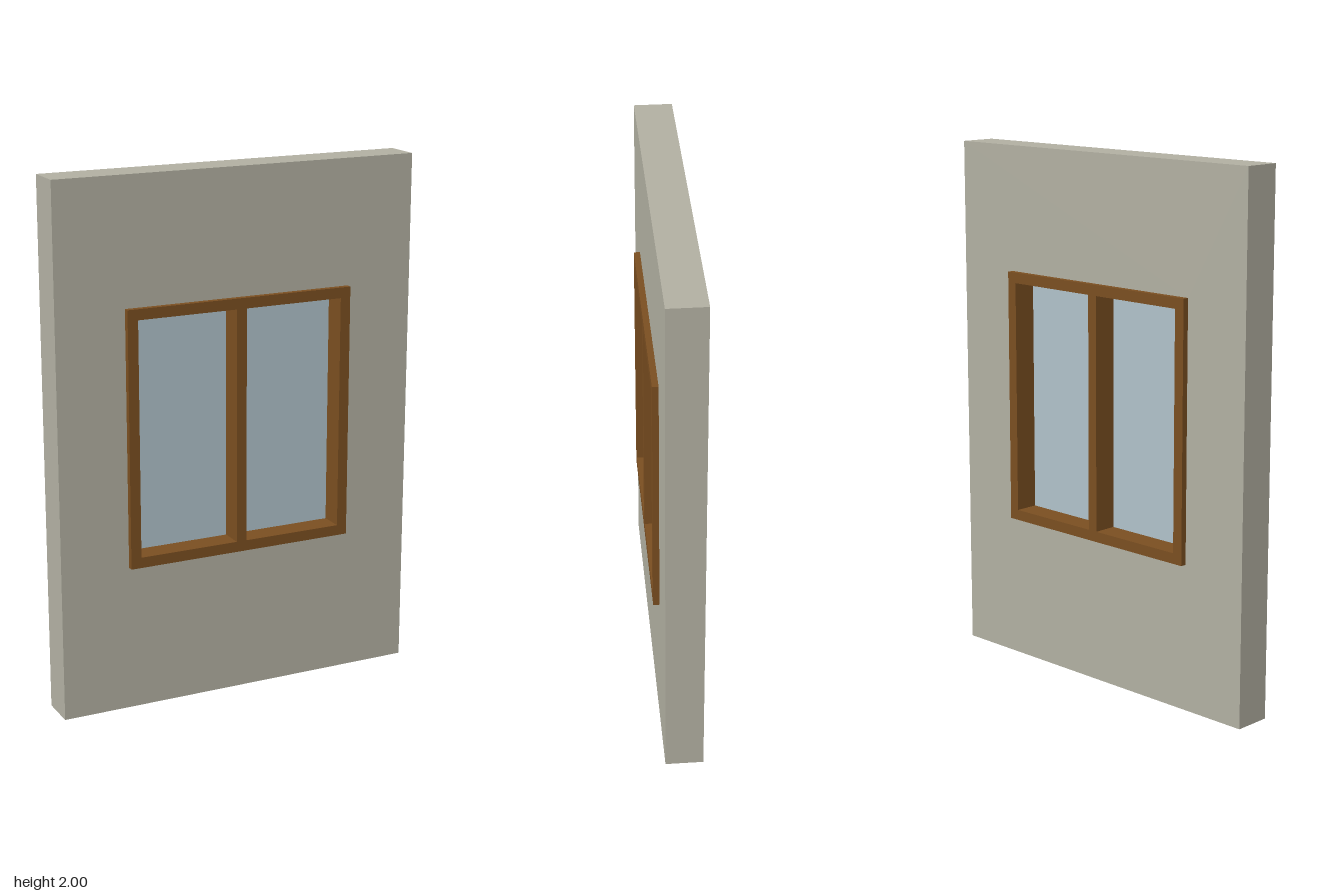
import * as THREE from 'three';

const wallMat = new THREE.MeshStandardMaterial({ name: 'stone grey', color: 0xb1afa1 });
const woodMat = new THREE.MeshStandardMaterial({ name: 'brown wood', color: 0x7a4e20 });
const glassMat = new THREE.MeshStandardMaterial({ name: 'pale blue glass', color: 0xafc1c9 });

// Window opening in the wall, and the size of its timber bars
const X = 0.448, Y0 = 0.555, Y1 = 1.525, BAR = 0.04;

function rect(PathType, x0, y0, x1, y1) {
  return new PathType([
    new THREE.Vector2(x0, y0), new THREE.Vector2(x1, y0),
    new THREE.Vector2(x1, y1), new THREE.Vector2(x0, y1),
  ]);
}

// Upright slab with holes, centred on z = 0
function slab(name, outline, holes, depth, material) {
  const shape = rect(THREE.Shape, ...outline);
  for (const hole of holes) shape.holes.push(rect(THREE.Path, ...hole));
  const geometry = new THREE.ExtrudeGeometry(shape, { depth, bevelEnabled: false });
  geometry.translate(0, 0, -depth / 2);
  const mesh = new THREE.Mesh(geometry, material);
  mesh.name = name;
  return mesh;
}

export function createModel() {
  const model = new THREE.Group();
  model.name = 'wallWithWindow';

  // Wall panel with the window opening
  const opening = [-X, Y0, X, Y1];
  model.add(slab('wall', [-0.713, 0, 0.713, 2], [opening], 0.142, wallMat));

  // Frame and central mullion, standing proud of both wall faces
  const panes = [
    [-X + BAR, Y0 + BAR, -BAR / 2, Y1 - BAR],
    [BAR / 2, Y0 + BAR, X - BAR, Y1 - BAR],
  ];
  model.add(slab('windowFrame', opening, panes, 0.188, woodMat));

  // Glass panes in the middle of the frame
  panes.forEach((pane, i) => {
    model.add(slab(i ? 'leftPane' : 'rightPane', pane, [], 0.006, glassMat));
  });

  return model;
}
